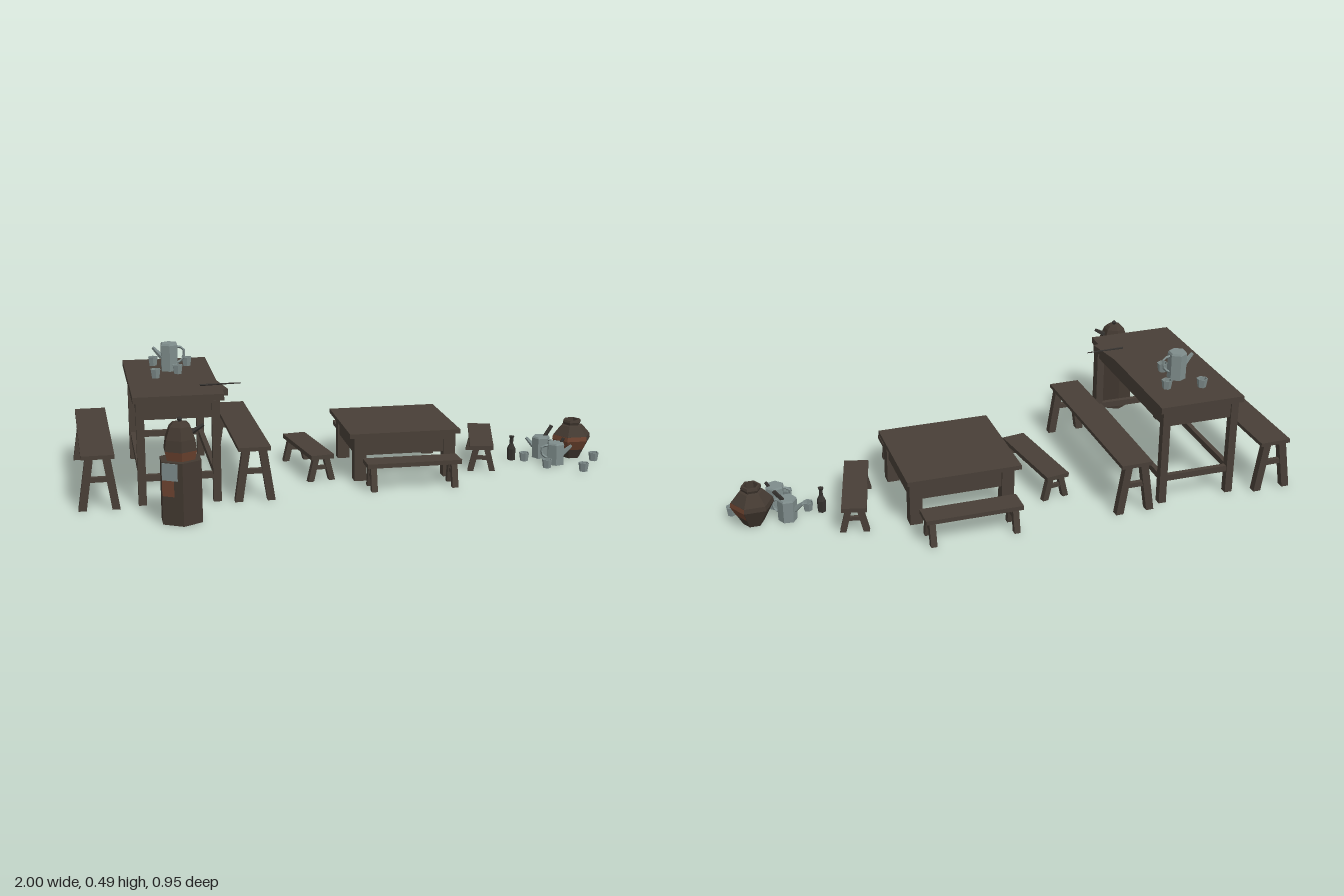
import * as THREE from 'three';

const mat = (name, color) => {
  const m = new THREE.MeshStandardMaterial({ color, flatShading: true });
  m.name = name;
  return m;
};

export function createModel() {
  const wood = mat('dark wood', 0x483f37);
  const clay = mat('dark clay', 0x433931);
  const rust = mat('rust clay', 0x6e4430);
  const pewter = mat('grey pewter', 0x7f8d8c);
  const iron = mat('dark iron', 0x35322f);
  const root = new THREE.Group();

  const group = (name, parent, x = 0, y = 0, z = 0, turn = 0) => {
    const g = new THREE.Group();
    g.name = name;
    g.position.set(x, y, z);
    g.rotation.y = turn;
    parent.add(g);
    return g;
  };
  const add = (parent, name, geo, material) => {
    const m = new THREE.Mesh(geo, material);
    m.name = name;
    parent.add(m);
    return m;
  };
  // Box given by its minimum and maximum corners
  const block = (parent, name, material, x0, x1, y0, y1, z0, z1) => {
    const m = add(parent, name, new THREE.BoxGeometry(x1 - x0, y1 - y0, z1 - z0), material);
    m.position.set((x0 + x1) / 2, (y0 + y1) / 2, (z0 + z1) / 2);
    return m;
  };
  // Six-sided turned form from a [radius, height] profile
  const turned = (parent, name, profile, material, start = 0, faces = 6) =>
    add(parent, name, new THREE.LatheGeometry(
      profile.map(([r, y]) => new THREE.Vector2(r, y)), faces, start, faces * Math.PI / 3), material);
  // Tapered rod between two points
  const rod = (parent, name, a, b, r0, r1, material) => {
    const p = new THREE.Vector3(...a), q = new THREE.Vector3(...b), d = q.clone().sub(p);
    const m = add(parent, name, new THREE.CylinderGeometry(r1, r0, d.length(), 5), material);
    m.position.copy(p).lerp(q, 0.5);
    m.quaternion.setFromUnitVectors(new THREE.Vector3(0, 1, 0), d.normalize());
    return m;
  };

  // Legs and aprons shared by both tables
  function tableFrame(g, x0, x1, z0, z1, leg, top, apronBottom) {
    for (const x of [x0, x1 - leg]) for (const z of [z0, z1 - leg])
      block(g, 'tableLeg', wood, x, x + leg, 0, top, z, z + leg);
    const i = 0.006, t = 0.016;
    for (const x of [x0 + i, x1 - i - t])
      block(g, 'sideApron', wood, x, x + t, apronBottom, top, z0 + i, z1 - i);
    for (const z of [z0 + i, z1 - i - t])
      block(g, 'endApron', wood, x0 + i, x1 - i, apronBottom, top, z, z + t);
  }

  // Tall table with one board sprung out along its edge
  const tall = group('tallTable', root);
  const outline = [[-0.8, -0.44], [-0.482, -0.442], [-0.482, -0.01], [-0.457, 0.14],
    [-0.477, 0.145], [-0.479, 0.213], [-0.795, 0.216]];
  const topShape = new THREE.Shape(outline.map(([x, z]) => new THREE.Vector2(x, -z)));
  const tallTop = add(tall, 'tableTop',
    new THREE.ExtrudeGeometry(topShape, { depth: 0.023, bevelEnabled: false }), wood);
  tallTop.rotation.x = -Math.PI / 2;
  tallTop.position.y = 0.364;
  tableFrame(tall, -0.785, -0.495, -0.433, 0.215, 0.028, 0.364, 0.305);
  for (const x of [-0.78, -0.518])
    block(tall, 'longStretcher', wood, x, x + 0.018, 0.085, 0.108, -0.42, 0.2);
  for (const z of [-0.428, 0.192])
    block(tall, 'endStretcher', wood, -0.775, -0.505, 0.085, 0.108, z, z + 0.018);
  rod(tall, 'skewer', [-0.55, 0.391, 0.075], [-0.405, 0.392, 0.07], 0.004, 0.002, iron);

  // Low square table
  const low = group('lowTable', root);
  block(low, 'tableTop', wood, -0.008, 0.408, 0.168, 0.184, -0.33, 0.084);
  tableFrame(low, 0.012, 0.395, -0.307, 0.063, 0.045, 0.168, 0.096);

  // Bench with two A-shaped ends, running along its own z
  function bench(name, x, z, turn, s) {
    const g = group(name, root, x, 0, z, turn);
    const under = s.height - s.thick;
    block(g, 'seat', wood, -s.width / 2, s.width / 2, under, s.height, -s.length / 2, s.length / 2);
    for (const end of [-1, 1]) {
      const ez = end * (s.length / 2 - s.inset);
      for (const side of [-1, 1]) {
        const geo = new THREE.BoxGeometry(s.leg, under, s.leg).translate(0, under / 2, 0);
        const p = geo.attributes.position;
        for (let i = 0; i < p.count; i++)
          p.setX(i, p.getX(i) + side * THREE.MathUtils.lerp(s.foot, s.head, p.getY(i) / under));
        add(g, 'benchLeg', geo, wood).position.z = ez;
      }
      const half = THREE.MathUtils.lerp(s.foot, s.head, s.bar / under);
      block(g, 'crossBar', wood, -half, half, s.bar - s.leg * 0.32, s.bar + s.leg * 0.32,
        ez - s.leg * 0.3, ez + s.leg * 0.3);
    }
  }
  const long = { length: 0.71, width: 0.115, height: 0.197, thick: 0.014, inset: 0.018,
    leg: 0.028, foot: 0.058, head: 0.03, bar: 0.108 };
  const short = { length: 0.35, width: 0.088, height: 0.102, thick: 0.016, inset: 0.025,
    leg: 0.022, foot: 0.041, head: 0.02, bar: 0.05 };
  bench('leftLongBench', -0.926, -0.108, 0.015, long);
  bench('rightLongBench', -0.384, -0.113, 0.015, long);
  bench('frontShortBench', 0.207, 0.163, Math.PI / 2, short);
  bench('backShortBench', 0.205, -0.422, Math.PI / 2, short);
  bench('innerShortBench', -0.13, -0.125, 0.155, short);
  bench('outerShortBench', 0.55, -0.135, -0.25, short);

  // Cups
  const cupProfile = [[0, 0], [0.015, 0], [0.02, 0.033], [0.017, 0.033], [0.013, 0.006], [0, 0.006]];
  const cups = [
    [-0.69, 0.387, -0.322], [-0.565, 0.387, -0.295], [-0.61, 0.387, -0.155], [-0.695, 0.387, -0.095],
    [0.715, 0, -0.09], [0.77, 0, 0.022], [0.89, 0, 0.095], [0.98, 0, -0.04],
  ];
  for (const [x, y, z] of cups) turned(group('cup', root, x, y, z), 'cupBody', cupProfile, pewter);

  // Jugs with a spout on one side and a handle on the other
  function jug(x, y, z, h, turn, trim) {
    const g = group('jug', root, x, y, z, turn);
    turned(g, 'jugBody', [[0, 0], [0.034, 0], [0.035, h * 0.93], [0.031, h], [0, h]], pewter);
    rod(g, 'spout', [-0.028, h * 0.5, 0], [-0.06, h * 0.85, 0], 0.011, 0.006, trim);
    const curve = new THREE.CatmullRomCurve3([[0.027, h * 0.85], [0.052, h * 0.78], [0.05, h * 0.4], [0.027, h * 0.25]]
      .map(([px, py]) => new THREE.Vector3(px, py, 0)));
    add(g, 'handle', new THREE.TubeGeometry(curve, 6, 0.005, 4), trim);
  }
  jug(-0.635, 0.387, -0.222, 0.104, 0, pewter);
  jug(0.82, 0, -0.025, 0.085, 2.9, pewter);
  jug(0.795, 0, -0.13, 0.085, -0.6, pewter);
  rod(root, 'ladle', [0.795, 0.06, -0.13], [0.84, 0.122, -0.14], 0.008, 0.008, iron);
  rod(root, 'ladle', [0.825, 0.05, -0.03], [0.85, 0.1, -0.025], 0.008, 0.006, iron);

  // Dark bottle
  turned(group('bottle', root, 0.67, 0, -0.113), 'bottleBody',
    [[0, 0], [0.015, 0], [0.017, 0.045], [0.007, 0.065], [0.007, 0.085], [0.011, 0.095], [0, 0.095]], iron);

  // Tall six-sided stand with worn patches on its front left face
  const stand = group('stand', root, -0.65, 0, 0.402);
  turned(stand, 'standBody', [[0, 0], [0.077, 0], [0.077, 0.217], [0, 0.217]], clay);
  const face = group('wornFace', stand, 0, 0, 0, -Math.PI / 6);
  block(face, 'palePatch', pewter, -0.037, 0.02, 0.155, 0.214, 0.064, 0.069);
  block(face, 'rustPatch', rust, -0.037, 0.006, 0.1, 0.155, 0.064, 0.069);

  // Lidded pot on the stand
  const pot = group('pot', root, -0.65, 0.217, 0.402);
  turned(pot, 'potBase', [[0, 0], [0.054, 0], [0.062, 0.032]], rust);
  turned(pot, 'potBody', [[0.062, 0.032], [0.056, 0.07], [0.04, 0.112], [0.028, 0.124], [0, 0.128]], clay);
  turned(pot, 'lidKnob', [[0, 0.122], [0.005, 0.126], [0.01, 0.136], [0, 0.145]], iron);
  rod(pot, 'spout', [0.035, 0.085, 0], [0.08, 0.112, 0], 0.01, 0.006, iron);

  // Round-bellied vase with rust-coloured sides
  const vase = group('vase', root, 0.915, 0, -0.117, Math.PI / 6);
  const belly = [[0.036, 0], [0.077, 0.075], [0.074, 0.092], [0.042, 0.128]];
  turned(vase, 'vaseBody', [[0, 0], ...belly, [0.033, 0.131], [0.037, 0.141], [0.034, 0.15],
    [0.026, 0.15], [0.024, 0.125], [0, 0.125]], clay);
  const glaze = belly.slice(0, 3).map(([r, y]) => [r + 0.001, y]);
  glaze[0] = [0.058, 0.038];
  for (const k of [1, 4]) turned(vase, 'rustGlaze', glaze, rust, k * Math.PI / 3, 1);
  turned(vase, 'rustGlaze', glaze, rust, 5 * Math.PI / 3, 1);

  return root;
}
